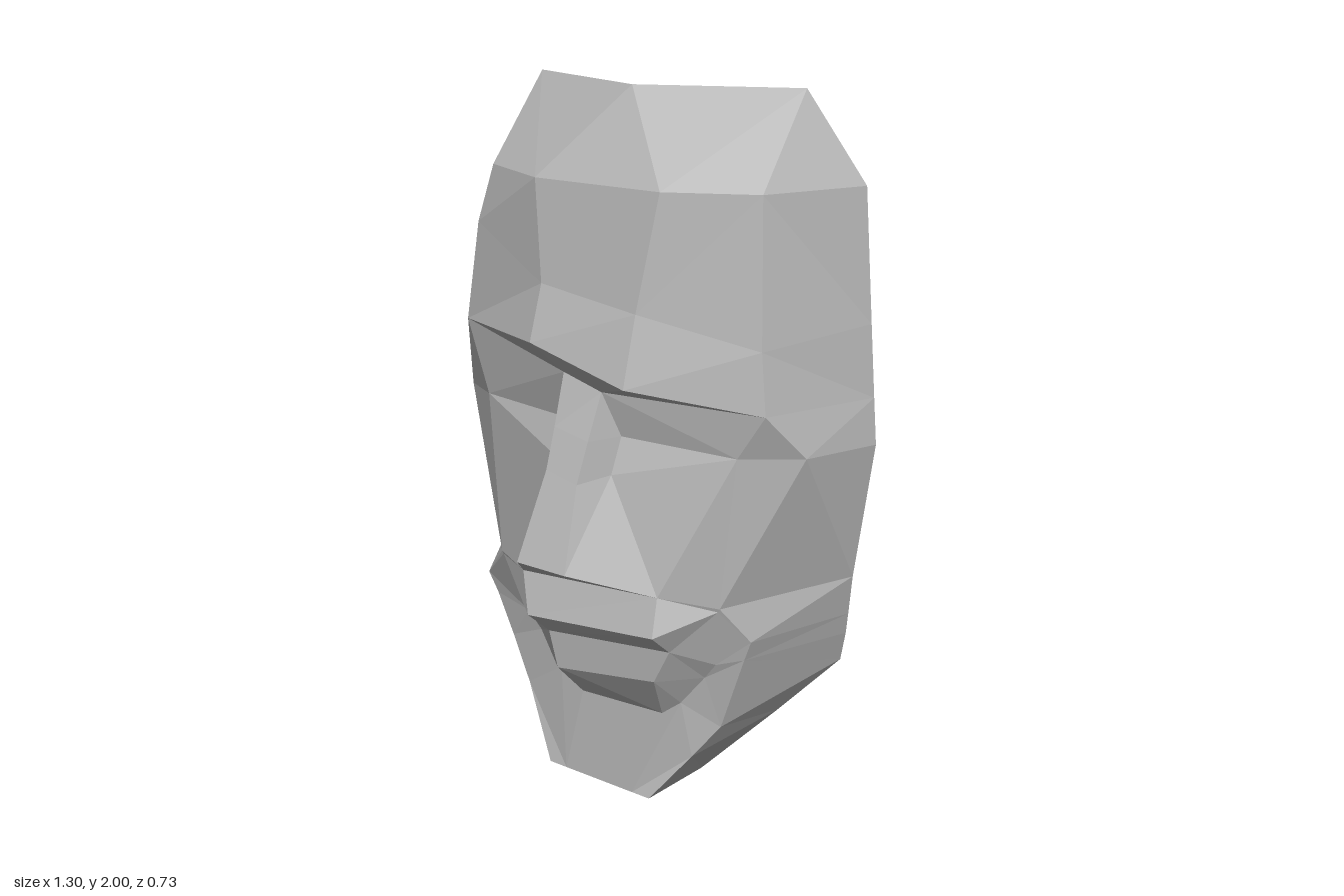
import * as THREE from 'three';

const maskGrey = new THREE.MeshStandardMaterial({ color: 0xb4b4b4, flatShading: true, side: THREE.DoubleSide });
maskGrey.name = 'maskGrey';

// Skin between cross-sections, listed top to bottom, each running from -x to +x.
// Every quad is split along its shorter diagonal; collapsed triangles are dropped.
function skin(name, rows) {
  const pos = [];
  const tri = (...pts) => {
    const [a, b, c] = pts.map(p => new THREE.Vector3(...p));
    if (new THREE.Triangle(a, b, c).getArea() > 1e-5) for (const p of pts) pos.push(...p);
  };
  const dist = (p, q) => Math.hypot(p[0] - q[0], p[1] - q[1], p[2] - q[2]);
  for (let i = 0; i + 1 < rows.length; i++) {
    for (let j = 0; j + 1 < rows[i].length; j++) {
      const a = rows[i][j], b = rows[i][j + 1], c = rows[i + 1][j], d = rows[i + 1][j + 1];
      if (dist(a, d) < dist(b, c)) { tri(a, c, d); tri(a, d, b); }
      else { tri(a, c, b); tri(b, c, d); }
    }
  }
  const g = new THREE.BufferGeometry();
  g.setAttribute('position', new THREE.Float32BufferAttribute(pos, 3));
  g.computeVertexNormals();
  const mesh = new THREE.Mesh(g, maskGrey);
  mesh.name = name;
  return mesh;
}

export function createModel() {
  const mask = new THREE.Group();
  mask.name = 'faceMask';

  // Points shared by neighbouring parts
  const browL = [-0.5, 1.32, 0.05], browR = [0.495, 1.205, 0.05];
  const rootL = [-0.065, 1.26, 0.165], rootR = [0.06, 1.225, 0.165];
  const browInL = [-0.14, 1.34, 0.215], browInR = [0.165, 1.26, 0.215];
  const earL = [-0.65, 1.06, -0.283], earR = [0.648, 1.07, -0.283];
  const templeL = [-0.57, 1.09, -0.045], templeR = [0.567, 1.08, -0.045];
  const eyeOutL = [-0.42, 1.11, 0.06], eyeOutR = [0.42, 1.08, 0.06];
  const eyeInL = [-0.1, 1.12, 0.13], eyeInR = [0.1, 1.1, 0.13];
  const noseSideL = [-0.1, 1.02, 0.17], noseSideR = [0.095, 1.0, 0.17];
  const wingL = [-0.2, 0.655, 0.19], wingR = [0.26, 0.69, 0.19];
  const cheekL = [-0.37, 0.635, 0.08], cheekR = [0.39, 0.65, 0.08];
  const sideL = [-0.59, 0.66, -0.305], sideR = [0.59, 0.66, -0.305];
  const tipL = [-0.08, 0.77, 0.362], tipR = [0.08, 0.77, 0.362];
  const chinL = [-0.18, 0, 0.105], chinR = [0.18, 0, 0.105];
  const throatL = [-0.23, 0.02, -0.1], throatR = [0.23, 0.02, -0.1];

  // Forehead down to the brow ridge
  const crownL = [-0.44, 2, -0.238], crownR = [0.42, 2, -0.238], crown = [0, 2, -0.058];
  mask.add(skin('forehead', [
    [crownL, crownL, crown, crown, crownR, crownR],
    [[-0.585, 1.76, -0.285], [-0.44, 1.76, -0.01], [-0.2, 1.76, 0.105],
      [0.2, 1.76, 0.105], [0.433, 1.76, -0.01], [0.58, 1.76, -0.285]],
    [[-0.6, 1.6, -0.284], [-0.475, 1.6, 0.02], [-0.145, 1.49, 0.155],
      [0.165, 1.45, 0.16], [0.47, 1.37, 0.035], [0.615, 1.4, -0.284]],
    [[-0.625, 1.32, -0.283], browL, browInL, browInR, browR, [0.635, 1.2, -0.283]],
  ]));

  // Underside of the brow ridge
  mask.add(skin('brow', [[browL, browInL, browInR, browR], [browL, rootL, rootR, browR]]));

  // Temples and eye sockets, one per side
  mask.add(skin('rightEyeSocket', [
    [[-0.625, 1.32, -0.283], browL, browL, rootL], [earL, templeL, eyeOutL, eyeInL]]));
  mask.add(skin('leftEyeSocket', [
    [rootR, browR, browR, [0.635, 1.2, -0.283]], [eyeInR, eyeOutR, templeR, earR]]));

  // Nose with its flat underside
  mask.add(skin('nose', [
    [rootL, rootL, rootR, rootR],
    [eyeInL, [-0.06, 1.12, 0.215], [0.055, 1.1, 0.22], eyeInR],
    [noseSideL, [-0.055, 1.01, 0.26], [0.05, 0.99, 0.265], noseSideR],
    [wingL, tipL, tipR, wingR],
    [wingL, wingL, wingR, wingR],
  ]));

  // Cheeks
  mask.add(skin('rightCheek', [
    [earL, templeL, eyeOutL, eyeInL],
    [earL, templeL, eyeOutL, noseSideL],
    [sideL, cheekL, cheekL, wingL]]));
  mask.add(skin('leftCheek', [
    [eyeInR, eyeOutR, templeR, earR],
    [noseSideR, eyeOutR, templeR, earR],
    [wingR, cheekR, cheekR, sideR]]));

  // Cross-sections of the mouth and jaw
  const lipTop = [[-0.57, 0.53, -0.33], [-0.475, 0.52, 0.02], [-0.36, 0.63, 0.085], [-0.15, 0.545, 0.235],
    [0.275, 0.59, 0.235], [0.385, 0.64, 0.08], [0.45, 0.54, 0.01], [0.57, 0.53, -0.33]];
  const mouthLine = [[-0.558, 0.46, -0.345], [-0.44, 0.46, 0.02], [-0.3, 0.45, 0.05], [-0.13, 0.475, 0.165],
    [0.285, 0.525, 0.165], [0.36, 0.46, 0.045], [0.43, 0.48, 0.01], [0.558, 0.46, -0.345]];
  const lipBottom = [[-0.538, 0.36, -0.365], [-0.375, 0.34, 0.03], [-0.25, 0.4, 0.05], [-0.1, 0.365, 0.165],
    [0.235, 0.42, 0.165], [0.325, 0.41, 0.045], [0.36, 0.25, 0.01], [0.535, 0.36, -0.365]];
  const chinTop = [[-0.4, 0.205, -0.245], [-0.3, 0.21, 0.05], [-0.16, 0.31, 0.07], [-0.07, 0.265, 0.085],
    [0.21, 0.28, 0.085], [0.26, 0.32, 0.065], [0.29, 0.15, 0.05], [0.4, 0.205, -0.245]];
  const chinEdge = [throatL, chinL, [-0.12, 0, 0.105], [-0.05, 0, 0.105],
    [0.05, 0, 0.105], [0.12, 0, 0.105], chinR, throatR];

  mask.add(skin('upperLip', [
    [sideL, cheekL, cheekL, wingL, wingR, cheekR, cheekR, sideR], lipTop, mouthLine]));
  mask.add(skin('lowerLip', [mouthLine, lipBottom, chinTop]));
  mask.add(skin('chin', [chinTop, chinEdge]));
  mask.add(skin('chinUnderside', [[chinL, chinR], [throatL, throatR]]));

  return mask;
}
